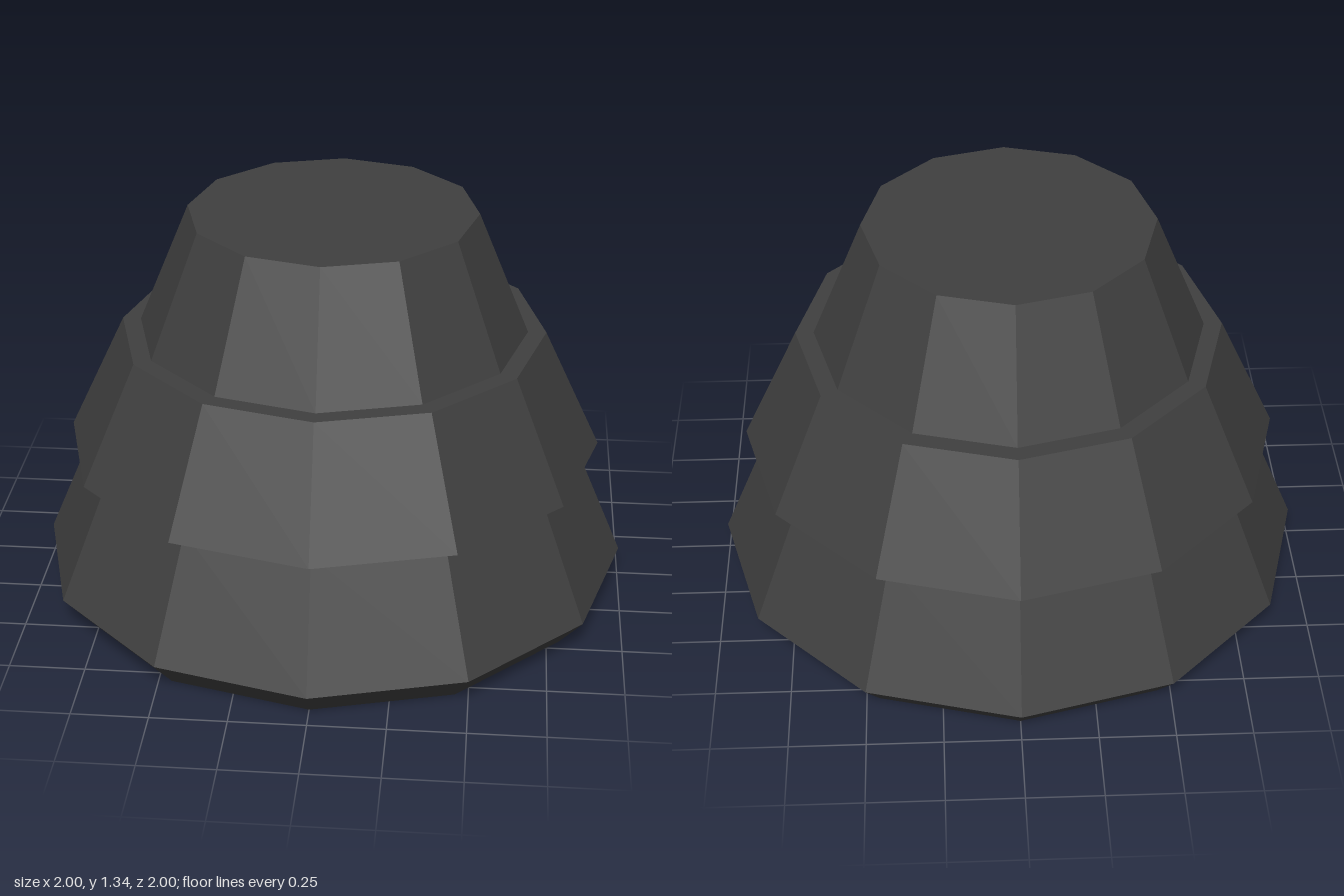
import * as THREE from 'three';

const SIDES = 12;

export function createModel() {
  const model = new THREE.Group();
  model.name = 'steppedCone';
  const material = new THREE.MeshStandardMaterial({ color: 0x404040, flatShading: true });

  // Turns a profile of [radius, height] points, bottom to top, into a faceted tier
  function addTier(name, profile) {
    const points = profile.map(([r, y]) => new THREE.Vector2(r, y));
    const geometry = new THREE.LatheGeometry(points, SIDES).toNonIndexed();
    geometry.computeVertexNormals();
    const mesh = new THREE.Mesh(geometry, material);
    mesh.name = name;
    model.add(mesh);
  }

  // Base with a bevelled foot and closed underside
  addTier('baseTier', [[0, 0], [0.915, 0], [1, 0.1], [0.825, 0.513]]);
  // Overhanging middle skirt with a narrow ledge on top
  addTier('middleTier', [[0.825, 0.513], [0.905, 0.513], [0.713, 0.92], [0.652, 0.92]]);
  // Upper cone with a flat cap
  addTier('topTier', [[0.652, 0.92], [0.48, 1.336], [0, 1.336]]);

  return model;
}
